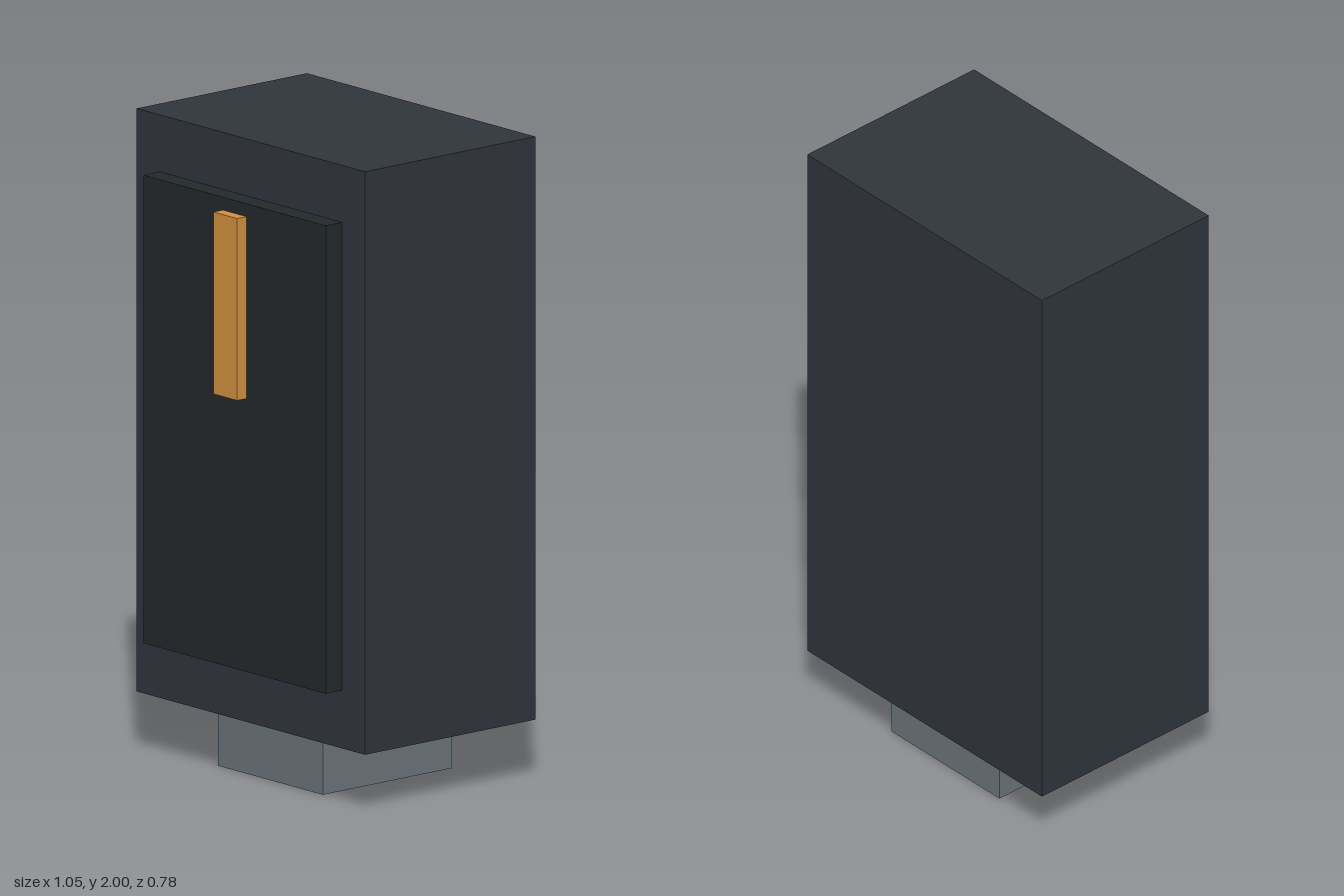
import * as THREE from 'three';

// Adds a named box given its extents: half-width in x, then y and z ranges
function addBox(group, name, color, halfX, [y0, y1], [z0, z1]) {
  const mesh = new THREE.Mesh(
    new THREE.BoxGeometry(halfX * 2, y1 - y0, z1 - z0),
    new THREE.MeshStandardMaterial({ color })
  );
  mesh.name = name;
  mesh.position.set(0, (y0 + y1) / 2, (z0 + z1) / 2);
  group.add(mesh);
}

export function createModel() {
  const model = new THREE.Group();
  model.name = 'cabinet';

  // Pedestal under the housing
  addBox(model, 'pedestal', 0x6b747b, 0.242, [0, 0.19], [-0.305, 0.21]);
  // Main housing
  addBox(model, 'housing', 0x30353d, 0.527, [0.19, 2], [-0.39, 0.288]);
  // Raised panel on the front
  addBox(model, 'frontPanel', 0x23292c, 0.421, [0.37, 1.823], [0.288, 0.353]);
  // Upright accent strip on the panel
  addBox(model, 'accentStrip', 0xd39141, 0.055, [1.218, 1.783], [0.353, 0.39]);

  return model;
}
